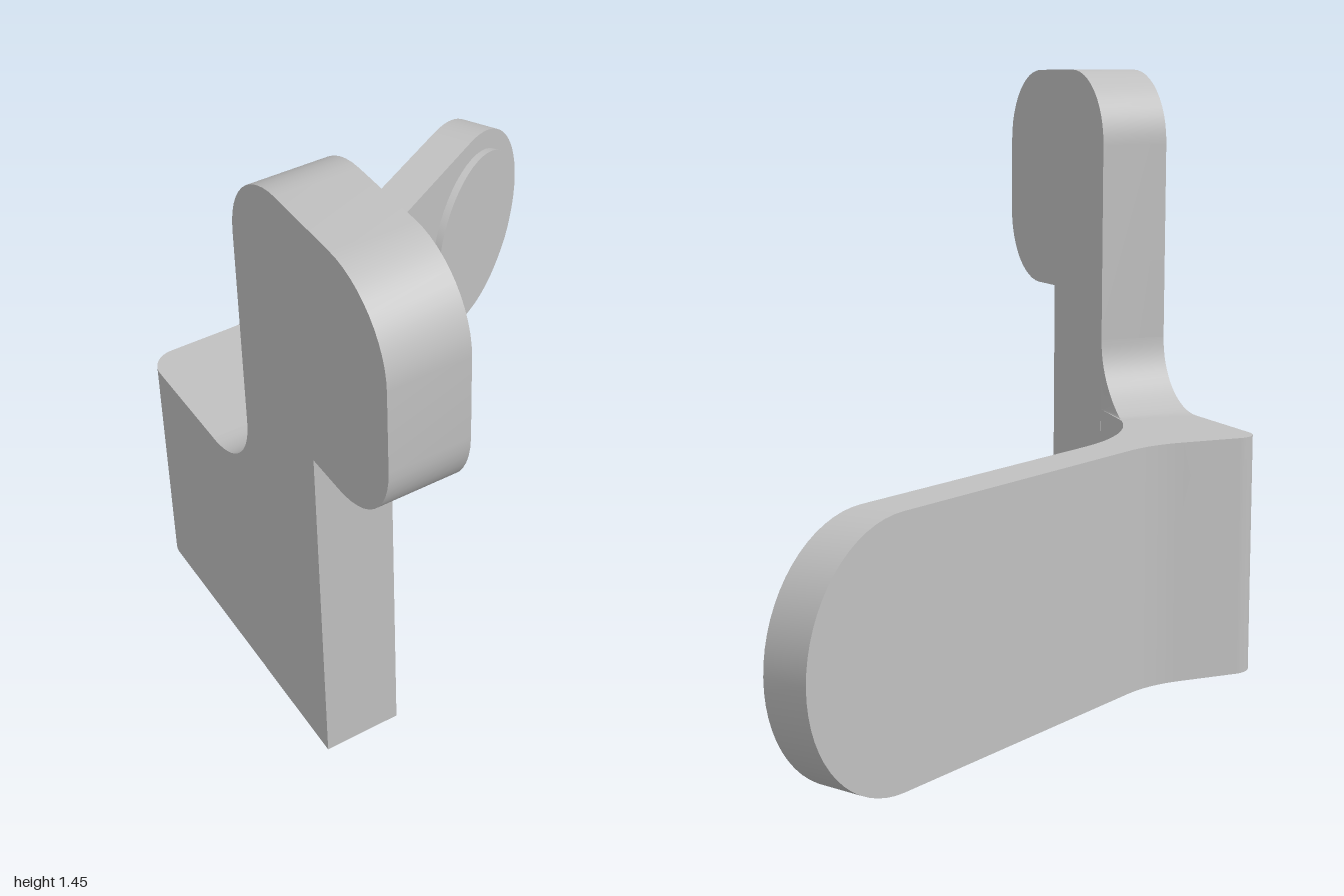
import * as THREE from 'three';
import { toCreasedNormals } from 'three/addons/utils/BufferGeometryUtils.js';

// Closed shape from [x, y, radius] corners; a radius rounds the corner with a tangent arc
function roundedShape(corners, steps = 12) {
  const pts = [];
  corners.forEach(([x, y, r = 0], i) => {
    const p = new THREE.Vector2(x, y);
    if (!r) { pts.push(p); return; }
    const n = corners.length;
    const [ax, ay] = corners[(i + n - 1) % n], [bx, by] = corners[(i + 1) % n];
    const a = new THREE.Vector2(ax, ay).sub(p).normalize();
    const b = new THREE.Vector2(bx, by).sub(p).normalize();
    const half = Math.acos(a.dot(b)) / 2;
    const start = p.clone().addScaledVector(a, r / Math.tan(half));
    const centre = p.clone().addScaledVector(a.clone().add(b).normalize(), r / Math.sin(half));
    const turn = (Math.PI - 2 * half) * (a.cross(b) < 0 ? 1 : -1);
    for (let k = 0; k <= steps; k++) {
      pts.push(start.clone().rotateAround(centre, turn * k / steps));
    }
  });
  return new THREE.Shape(pts);
}

const extrude = (shape, depth) =>
  new THREE.ExtrudeGeometry(shape, { depth, bevelEnabled: false, curveSegments: 16 });

export function createModel() {
  const model = new THREE.Group();
  model.name = 'angledBracket';
  const grey = new THREE.MeshStandardMaterial({ color: 0xc0c0c0 });
  grey.name = 'plain grey';

  function add(parent, name, geometry) {
    const mesh = new THREE.Mesh(toCreasedNormals(geometry, 0.5), grey);
    mesh.name = name;
    parent.add(mesh);
    return mesh;
  }

  const height = 0.58, thick = 0.18, bend = 0.54, armEnd = 0.71;

  // Arm and bend, drawn in plan (shape y is -z) and raised
  const plan = roundedShape([
    [-0.38, armEnd],
    [-0.38, -0.2, 0.32],
    [-0.529, -0.458, 0.06],
    [-0.09, -0.711],
    [0, -0.556],
    [-0.27, -0.4, bend],
    [-0.27, armEnd],
  ]);
  add(model, 'armAndBend', extrude(plan, height)).rotation.x = -Math.PI / 2;

  // Half-round end of the arm
  const endShape = new THREE.Shape();
  endShape.absarc(armEnd, height / 2, height / 2, -Math.PI / 2, Math.PI / 2, false);
  const armTip = add(model, 'armTip', extrude(endShape, 0.11));
  armTip.rotation.y = Math.PI / 2;
  armTip.position.x = -0.38;

  // Raised disc on the inner face of the arm
  const disc = add(model, 'raisedDisc', new THREE.CylinderGeometry(0.232, 0.232, 0.03, 48));
  disc.rotation.z = Math.PI / 2;
  disc.position.set(-0.265, 0.29, -0.715);

  // Upright plate, turned 30 degrees
  const upright = new THREE.Group();
  upright.name = 'upright';
  upright.position.set(0.25, 0, 0.7);
  upright.rotation.y = -Math.PI / 6;
  model.add(upright);

  const edge = -0.289, r = 0.19;
  add(upright, 'postAndHead', extrude(roundedShape([
    [edge, 0], [0, 0], [0, 0.875],
    [-edge, 0.875, r], [-edge, 1.45, r], [edge, 1.45, r],
  ]), thick));

  // Fillet from arm top to post; its back follows the curve of the bend
  const f = 0.18;
  const fillet = extrude(roundedShape([
    [edge - f, height], [edge, height, 0], [edge, height + f],
  ].concat(Array.from({ length: 15 }, (_, i) => {
    const a = (i + 1) / 16 * Math.PI / 2;
    return [edge - f + f * Math.cos(a), height + f - f * Math.sin(a)];
  }))), thick);
  const pos = fillet.attributes.position;
  for (let i = 0; i < pos.count; i++) {
    const s = pos.getX(i) - edge;
    if (pos.getZ(i) < 0.01) pos.setZ(i, Math.sqrt(bend * bend - s * s) - bend);
  }
  add(upright, 'postFillet', fillet);

  return model;
}
